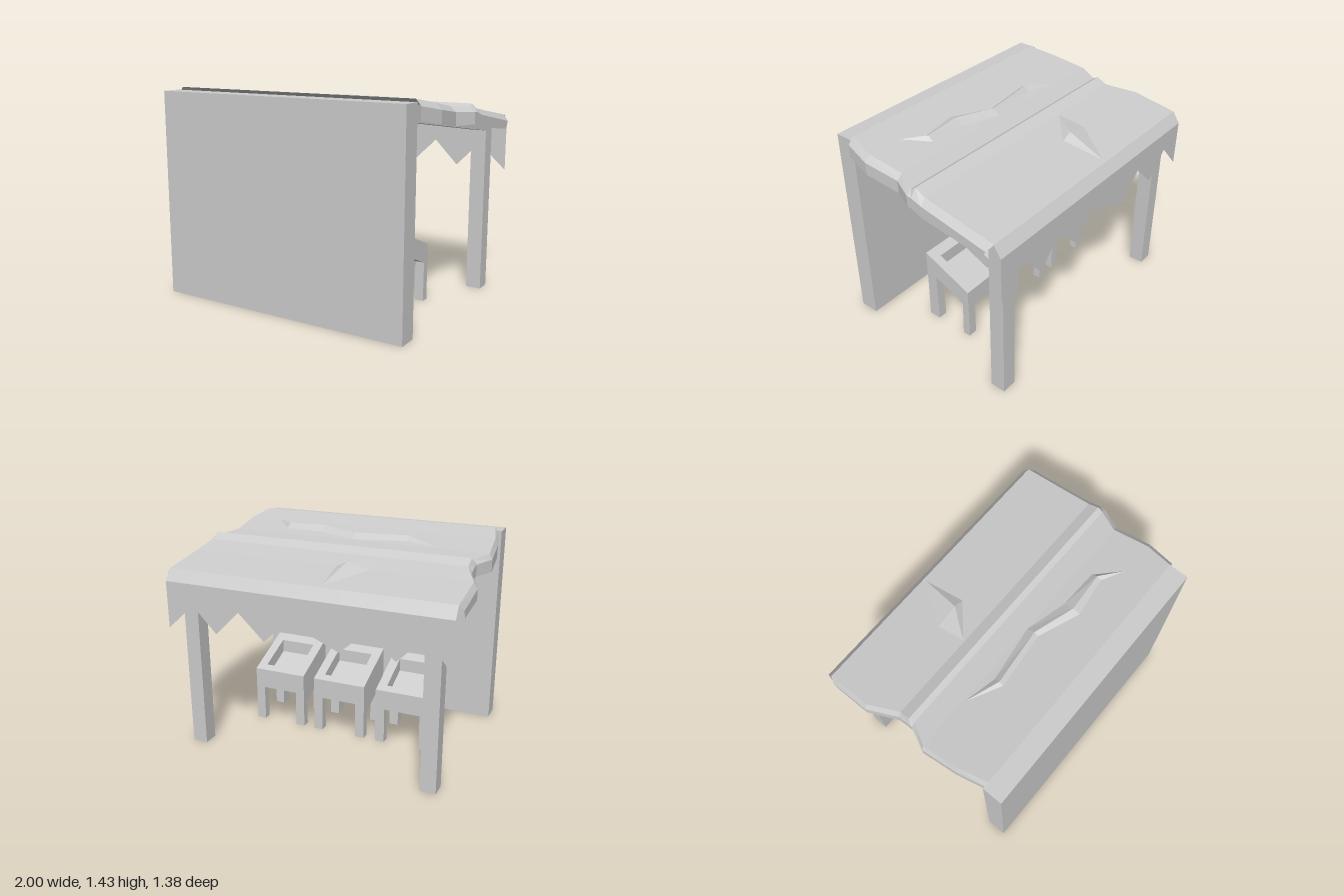
import * as THREE from 'three';

const solid = new THREE.MeshStandardMaterial({ color: 0xcccccc, flatShading: true });
const sheet = new THREE.MeshStandardMaterial({ color: 0xcccccc, flatShading: true, side: THREE.DoubleSide });

function add(parent, name, geometry, material = solid) {
  const mesh = new THREE.Mesh(geometry, material);
  mesh.name = name;
  parent.add(mesh);
  return mesh;
}

function box(x0, x1, y0, y1, z0, z1) {
  return new THREE.BoxGeometry(x1 - x0, y1 - y0, z1 - z0)
    .translate((x0 + x1) / 2, (y0 + y1) / 2, (z0 + z1) / 2);
}

// Side profile of [z, y] points, extruded from x0 to x1
function prism(points, x0, x1) {
  const shape = new THREE.Shape(points.map(([z, y]) => new THREE.Vector2(-z, y)));
  return new THREE.ExtrudeGeometry(shape, { depth: x1 - x0, bevelEnabled: false })
    .rotateY(Math.PI / 2).translate(x0, 0, 0);
}

// Surface through rows of [x, y, z] points
function loft(rows) {
  const n = rows[0].length, index = [];
  for (let i = 0; i < rows.length - 1; i++) {
    for (let j = 0; j < n - 1; j++) {
      const a = i * n + j, d = a + n;
      index.push(a, a + 1, d + 1, a, d + 1, d);
    }
  }
  const g = new THREE.BufferGeometry();
  g.setAttribute('position', new THREE.Float32BufferAttribute(rows.flat(2), 3));
  g.setIndex(index);
  g.computeVertexNormals();
  return g;
}

// Roof rows: z, top y, edge y, hem y, right outer x, right inner x, left inner x, left outer x
const roofRows = [
  [0.56, 1.43, 1.39, 1.305, -0.91, -0.885, 0.88, 0.915],
  [0.37, 1.395, 1.355, 1.27, -0.95, -0.93, 0.915, 0.955],
  [0.12, 1.355, 1.32, 1.235, -0.975, -0.955, 0.895, 0.935],
  [-0.02, 1.34, 1.312, 1.235, -0.91, -0.885, 0.96, 1.0],
  [-0.055, 1.36, 1.31, 1.235, -0.91, -0.885, 0.96, 1.0],
  [-0.13, 1.325, 1.285, 1.205, -0.91, -0.885, 0.96, 1.0],
  [-0.33, 1.29, 1.25, 1.18, -1.0, -0.975, 0.96, 1.0],
  [-0.64, 1.24, 1.2, 1.15, -1.0, -0.975, 0.96, 1.0],
];

function roofY(z) {
  for (let i = 0; i < roofRows.length - 1; i++) {
    const [z0, y0] = roofRows[i], [z1, y1] = roofRows[i + 1];
    if (z <= z0 && z >= z1) return y0 + (y1 - y0) * (z - z0) / (z1 - z0);
  }
  return roofRows[0][1];
}

function makeRoof() {
  const roof = new THREE.Group();
  roof.name = 'roof';

  // Sheet with bevelled, hanging side edges
  add(roof, 'roofSheet', loft(roofRows.map(([z, top, edge, hem, r1, r0, l0, l1], i) => {
    const last = i === roofRows.length - 1;
    const ze = last ? -0.612 : z, zh = last ? -0.585 : z;
    return [[r1, hem, zh], [r1, edge, ze], [r0, top, z], [l0, top, z], [l1, edge, ze], [l1, hem, zh]];
  })), sheet);

  // Long raised crease on the front half: x, back z, crest z, front z
  const crease = [
    [-0.6, 0.13, 0.13, 0.13], [-0.38, 0.18, 0.22, 0.25], [0, 0.125, 0.18, 0.21],
    [0.27, 0.2, 0.27, 0.32], [0.54, 0.21, 0.25, 0.28], [0.68, 0.36, 0.36, 0.36],
  ];
  add(roof, 'longCrease', loft(crease.map(([x, ...zs], i) => {
    const lift = i > 0 && i < crease.length - 1 ? 0.025 : 0;
    return zs.map((z, j) => [x, roofY(z) + 0.003 + (j === 1 ? lift : 0), z]);
  })), sheet);

  // Pointed bump on the back half
  add(roof, 'pointedBump', loft([
    [-0.14, 0, -0.3, -0.3, -0.3], [-0.33, 0.035, -0.32, -0.16, -0.09], [-0.62, 0, -0.12, -0.12, -0.12],
  ].map(([z, lift, ...xs]) => xs.map((x, j) => [x, roofY(z) + 0.002 + (j === 1 ? lift : 0), z]))), sheet);

  // Hanging cloth with a torn zigzag hem
  const hem = [
    [-0.975, 0.845], [-0.8, 1.03], [-0.63, 0.86], [-0.455, 1.03], [-0.265, 0.86],
    [0.085, 1.01], [0.25, 0.85], [0.43, 1.02], [0.6, 0.85], [0.77, 1.02], [0.965, 0.845],
  ];
  add(roof, 'backCloth', loft([
    hem.map(([x]) => [x, 1.24, -0.64]),
    hem.map(([x]) => [x, 1.165, -0.69]),
    hem.map(([x, y]) => [x, y, -0.69]),
  ]), sheet);
  return roof;
}

// Sloping-topped stool with a sunken tray
function makeStool() {
  const stool = new THREE.Group();
  stool.name = 'stool';
  const w = 0.1925, rim = 0.065;
  const topAt = z => 0.39 + (z + 0.13) * 0.419;
  const under = (z, drop) => topAt(z) - drop;

  // Each side panel includes a front and a back leg; the right one is deeper
  for (const [name, x0, x1, drop] of [
    ['leftSide', w - rim, w, 0.14], ['rightSide', -w, -w + rim, 0.235],
  ]) {
    add(stool, name, prism([
      [0.24, 0], [0.24, 0.545], [-0.13, 0.39], [-0.13, 0], [-0.075, 0],
      [-0.08, under(-0.08, drop)], [0.16, under(0.16, drop)], [0.155, 0],
    ], x0, x1));
  }
  // Front rail, back rail and tray floor
  const bar = (z0, z1, up, down) => [[z0, topAt(z0) - up], [z1, topAt(z1) - up], [z1, topAt(z1) - down], [z0, topAt(z0) - down]];
  add(stool, 'frontRail', prism(bar(0.17, 0.24, 0, 0.14), -w + rim, w - rim));
  add(stool, 'backRail', prism(bar(-0.13, -0.08, 0, 0.14), -w + rim, w - rim));
  add(stool, 'tray', prism(bar(-0.08, 0.17, 0.09, 0.135), -w + rim, w - rim));
  return stool;
}

export function createModel() {
  const model = new THREE.Group();
  model.name = 'shelter';

  add(model, 'frontWall', box(-0.93, 0.89, 0, 1.41, 0.555, 0.69));

  // Back posts with sloping beams running to the wall
  for (const [side, x] of [['left', 0.775], ['right', -0.89]]) {
    add(model, side + 'Post', box(x, x + 0.105, 0, 1.16, -0.63, -0.525));
    add(model, side + 'Beam', prism([[0.56, 1.295], [0.56, 1.4], [-0.63, 1.215], [-0.63, 1.12]], x, x + 0.105));
  }

  model.add(makeRoof());

  for (const x of [0.457, -0.01, -0.482]) {
    const stool = makeStool();
    stool.position.x = x;
    model.add(stool);
  }
  return model;
}
